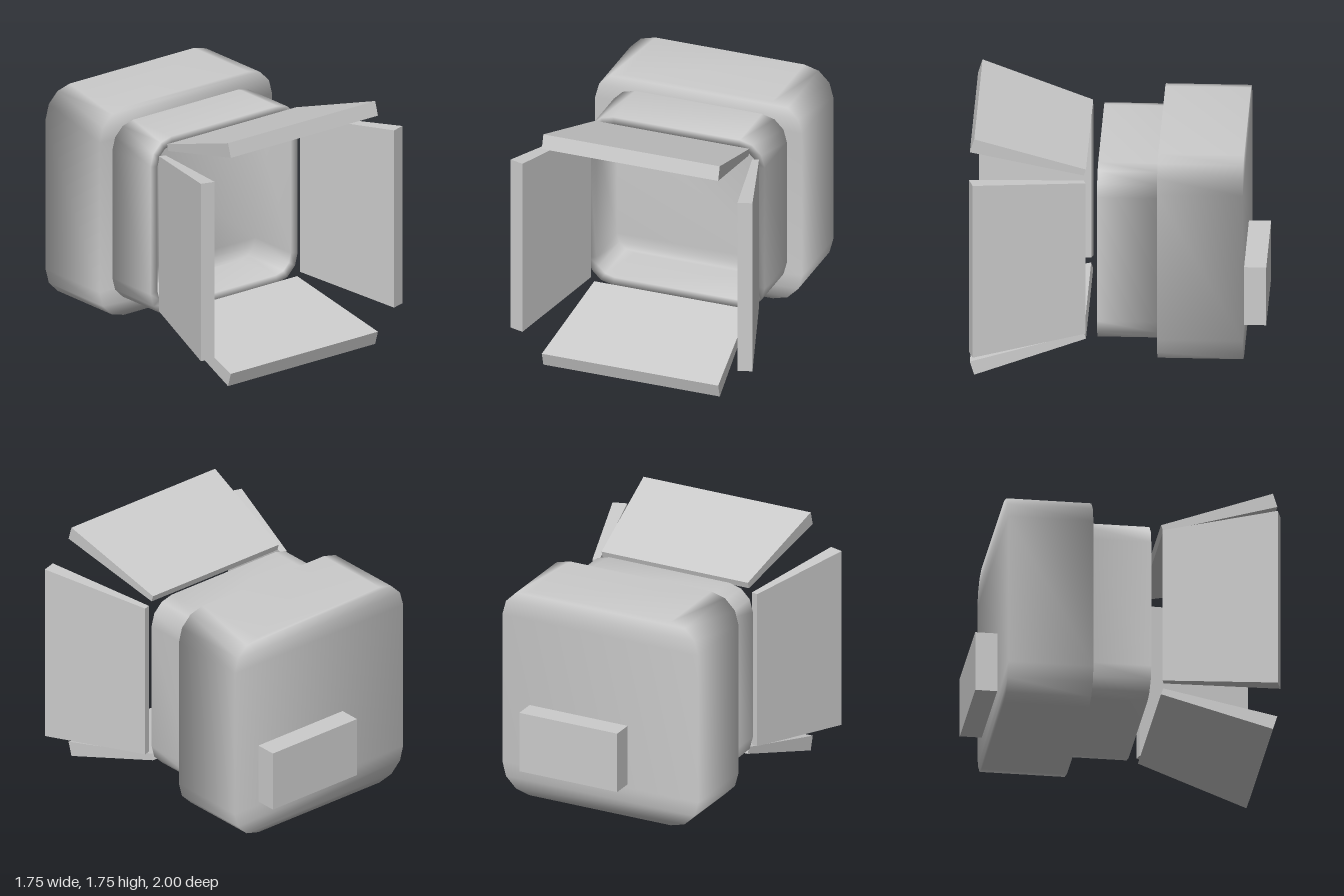
import * as THREE from 'three';

const MID_Y = 0.88;   // height of the lamp axis
const SEG = 3;        // segments per rounded corner
const material = new THREE.MeshStandardMaterial({ color: 0xcccccc });

// Rounded square, counter-clockwise from the lower right corner
function roundedSquare(half, radius, z) {
  const points = [];
  [[1, -1], [1, 1], [-1, 1], [-1, -1]].forEach(([sx, sy], corner) => {
    for (let k = 0; k <= SEG; k++) {
      const a = (corner - 1 + k / SEG) * Math.PI / 2;
      points.push([
        sx * (half - radius) + radius * Math.cos(a),
        sy * (half - radius) + radius * Math.sin(a),
        z,
      ]);
    }
  });
  return points;
}

// Joins rounded squares [half, radius, z] into one smooth closed shell
function shell(name, sections) {
  const n = 4 * (SEG + 1);
  const positions = sections.flatMap((s) => roundedSquare(...s)).flat();
  const index = [];
  for (let r = 0; r < sections.length - 1; r++) {
    for (let i = 0; i < n; i++) {
      const a = r * n + i, b = r * n + (i + 1) % n;
      index.push(a, b, b + n, a, b + n, a + n);
    }
  }
  // end caps, in strips across the width
  const last = (sections.length - 1) * n;
  for (let i = 0; i < n / 2 - 1; i++) {
    const a = i, b = i + 1, c = n - 2 - i, d = n - 1 - i;
    index.push(a, c, b, a, d, c);
    index.push(last + a, last + b, last + c, last + a, last + c, last + d);
  }
  const geometry = new THREE.BufferGeometry();
  geometry.setAttribute('position', new THREE.Float32BufferAttribute(positions, 3));
  geometry.setIndex(index);
  geometry.computeVertexNormals();
  const mesh = new THREE.Mesh(geometry, material);
  mesh.name = name;
  mesh.position.y = MID_Y;
  return mesh;
}

// Tilted flap, wider and thicker at its free end
function flapGeometry() {
  const inner = { half: 0.56, low: [0.585, 0.232], high: [0.63, 0.218] };
  const outer = { half: 0.64, low: [0.78, 1.0], high: [0.877, 0.97] };
  const box = new THREE.BoxGeometry(2, 2, 2);
  const p = box.attributes.position;
  for (let i = 0; i < p.count; i++) {
    const end = p.getZ(i) > 0 ? outer : inner;
    const [y, z] = p.getY(i) > 0 ? end.high : end.low;
    p.setXYZ(i, Math.sign(p.getX(i)) * end.half, y, z);
  }
  const geometry = box.toNonIndexed();
  geometry.computeVertexNormals();
  return geometry;
}

export function createModel() {
  const model = new THREE.Group();
  model.name = 'floodlight';

  // Rear body
  model.add(shell('rearHousing', [[0.75, 0.21, -0.85], [0.75, 0.21, -0.27]]));

  // Front body with a rim and a recess
  model.add(shell('frontHousing', [
    [0.64, 0.18, -0.27], [0.64, 0.18, 0.14],
    [0.58, 0.13, 0.14], [0.58, 0.13, -0.24],
  ]));

  // Four flaps around the opening
  const flap = flapGeometry();
  ['topFlap', 'rightFlap', 'bottomFlap', 'leftFlap'].forEach((name, i) => {
    const mesh = new THREE.Mesh(flap, material);
    mesh.name = name;
    mesh.position.y = MID_Y;
    mesh.rotation.z = i * Math.PI / 2;
    model.add(mesh);
  });

  // Box on the back, off centre
  const backBox = new THREE.Mesh(new THREE.BoxGeometry(0.75, 0.43, 0.16), material);
  backBox.name = 'backBox';
  backBox.position.set(0.165, 0.58, -0.92);
  model.add(backBox);

  return model;
}
